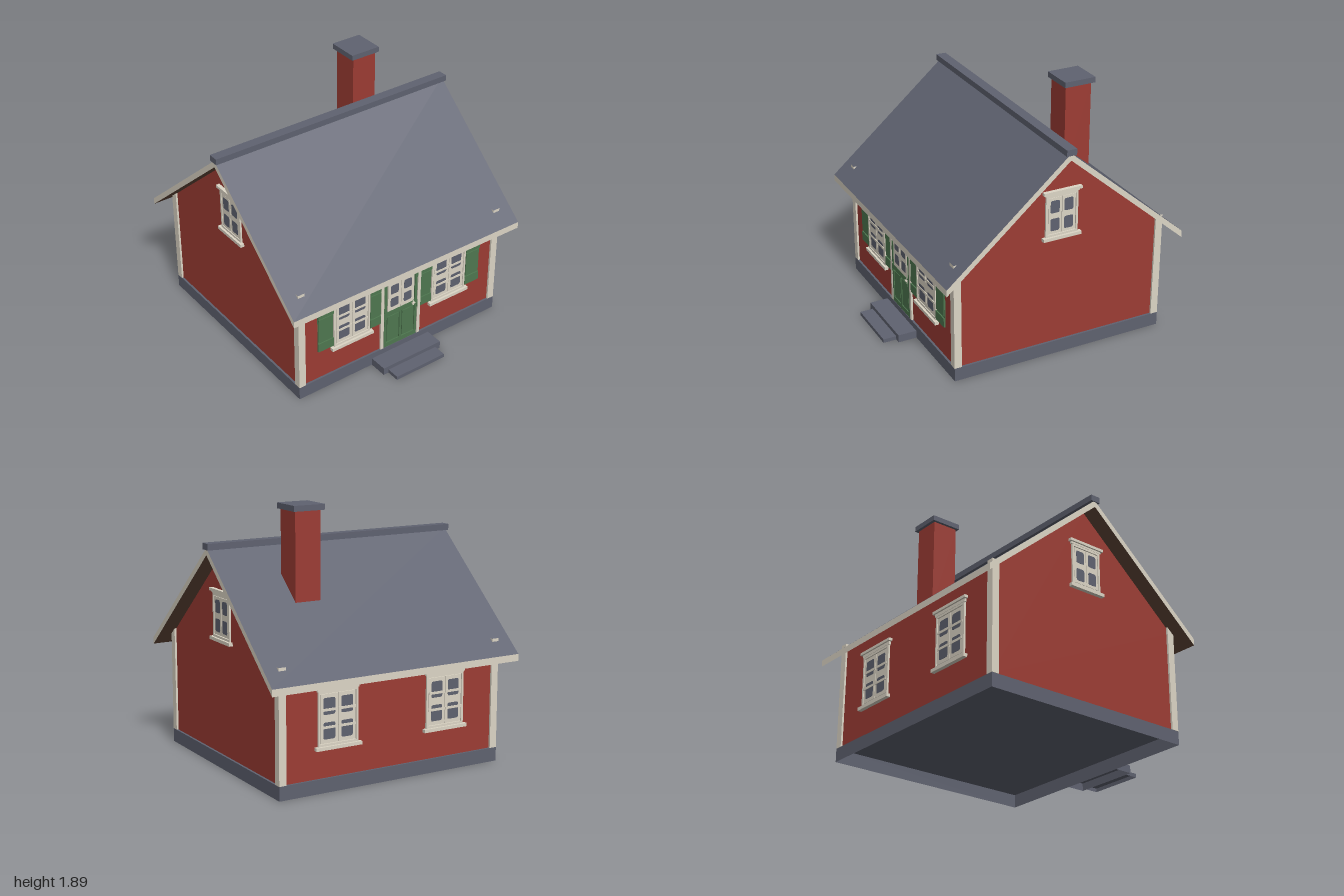
import * as THREE from 'three';

const mat = (name, color) => Object.assign(new THREE.MeshStandardMaterial({ color }), { name });

// Box with one face left out (2 = top, 3 = bottom)
const openBox = (w, h, d, face) => {
  const geo = new THREE.BoxGeometry(w, h, d);
  geo.setIndex([...geo.index.array].filter((_, i) => Math.floor(i / 6) !== face));
  geo.clearGroups();
  return geo;
};

export function createModel() {
  const red = mat('red timber', 0x9d3c34);
  const slate = mat('slate grey', 0x5f6270);
  slate.side = THREE.DoubleSide; // the foundation and steps are open below
  const cream = mat('cream trim', 0xddd6c6);
  const green = mat('green paint', 0x4f7850);
  const brown = mat('brown soffit', 0x64493a);

  const model = new THREE.Group();
  model.name = 'cottage';
  // The house is symmetric about its ridge, which lies slightly behind the centre.
  const house = new THREE.Group();
  house.name = 'house';
  house.position.z = -0.07;
  model.add(house);

  const mesh = (parent, name, geometry, material, x = 0, y = 0, z = 0) => {
    const m = new THREE.Mesh(geometry, material);
    m.name = name;
    m.position.set(x, y, z);
    parent.add(m);
    return m;
  };
  // Box given by its minimum and maximum corners.
  const block = (parent, name, material, [x0, y0, z0], [x1, y1, z1]) =>
    mesh(parent, name, new THREE.BoxGeometry(x1 - x0, y1 - y0, z1 - z0), material,
      (x0 + x1) / 2, (y0 + y1) / 2, (z0 + z1) / 2);
  const group = (parent, name, x, y, z, turn = 0) => {
    const g = new THREE.Group();
    g.name = name;
    g.position.set(x, y, z);
    g.rotation.y = turn;
    parent.add(g);
    return g;
  };

  const WX = 0.875, WZ = 0.805, BASE = 0.101; // wall half sizes and foot
  const SLOPE = 0.86, RIDGE = 1.586, EAVE = 0.92, THICK = 0.05;

  // Foundation and steps: shells without a bottom
  mesh(house, 'foundation', openBox(1.78, 0.1, 1.64, 3), slate, 0, 0.05, 0);
  mesh(house, 'upperStep', openBox(0.516, 0.058, 0.14, 3), slate, 0, 0.029, 0.891);
  mesh(house, 'lowerStep', openBox(0.43, 0.028, 0.099, 3), slate, 0, 0.014, 1.0105);

  // Walls with gables, as one extruded pentagon
  const apex = RIDGE - THICK;
  const gable = new THREE.Shape([[-WZ, BASE], [WZ, BASE], [WZ, apex - SLOPE * WZ], [0, apex], [-WZ, apex - SLOPE * WZ]]
    .map(([a, b]) => new THREE.Vector2(a, b)));
  const walls = new THREE.ExtrudeGeometry(gable, { depth: 2 * WX, bevelEnabled: false });
  walls.rotateY(-Math.PI / 2).translate(WX, 0, 0);
  mesh(house, 'walls', walls, red);

  // Corner boards, whose open tops just break through the roof
  for (const sx of [-1, 1]) for (const sz of [-1, 1]) {
    mesh(house, 'cornerBoard', openBox(0.055, 0.802, 0.055, 2), cream, sx * 0.8625, 0.502, sz * 0.7925);
  }

  // Roof slopes: boxes sheared downwards away from the ridge
  for (const turn of [0, Math.PI]) {
    const geo = new THREE.BoxGeometry(1.984, THICK, EAVE).translate(0, RIDGE - THICK / 2, EAVE / 2);
    const p = geo.attributes.position;
    for (let i = 0; i < p.count; i++) p.setY(i, p.getY(i) - SLOPE * p.getZ(i));
    geo.computeVertexNormals();
    mesh(house, 'roofSlope', geo, [cream, cream, slate, brown, cream, cream]).rotation.y = turn;
  }
  block(house, 'ridgeCap', slate, [-1, 1.573, -0.038], [1, 1.618, 0.038]);

  // Chimney
  block(house, 'chimney', red, [0.333, 1.15, -0.415], [0.531, 1.852, -0.215]);
  block(house, 'chimneyCap', slate, [0.312, 1.851, -0.437], [0.551, 1.891, -0.199]);

  // Thin glass pane with rounded corners
  const pane = (parent, x, y, z, w, h) => {
    const r = 0.014, a = w / 2, b = h / 2, s = new THREE.Shape();
    s.moveTo(-a + r, -b);
    s.lineTo(a - r, -b).quadraticCurveTo(a, -b, a, -b + r);
    s.lineTo(a, b - r).quadraticCurveTo(a, b, a - r, b);
    s.lineTo(-a + r, b).quadraticCurveTo(-a, b, -a, b - r);
    s.lineTo(-a, -b + r).quadraticCurveTo(-a, -b, -a + r, -b);
    const geo = new THREE.ExtrudeGeometry(s, { depth: 0.001, bevelEnabled: false, curveSegments: 3 });
    mesh(parent, 'glassPane', geo, slate, x, y, z);
  };

  // Cased window, centred on its frame and facing +z
  const addWindow = (x, y, z, turn, w, h, bars, head) => {
    const g = group(house, 'window', x, y, z, turn);
    const a = w / 2, b = h / 2, f = 0.016;
    mesh(g, 'windowBack', new THREE.BoxGeometry(w, h, 0.004), cream);
    for (const s of [-1, 1]) {
      mesh(g, 'frameSide', new THREE.BoxGeometry(f, h, 0.014), cream, s * (a - f / 2), 0, 0.007);
      mesh(g, 'frameRail', new THREE.BoxGeometry(w - 2 * f, f, 0.014), cream, 0, s * (b - f / 2), 0.007);
      // Casement leaf with two panes
      const lw = a - f - 0.006, cx = s * (lw / 2 + 0.002), lh = h - 2 * f - 0.008;
      mesh(g, 'casement', new THREE.BoxGeometry(lw, lh, 0.01), cream, cx, 0, 0.006);
      for (const t of [-1, 1]) pane(g, cx, t * lh * 0.25, 0.0105, lw * 0.68, lh * 0.345);
      if (bars) for (const t of [-1, 1]) {
        mesh(g, 'glazingBar', new THREE.BoxGeometry(lw, 0.018, 0.004), cream, cx, t * lh * 0.178, 0.013);
      }
    }
    mesh(g, 'header', new THREE.BoxGeometry(w + 0.015, head, 0.016), cream, 0, b + head / 2, 0.008);
    mesh(g, 'headerCap', new THREE.BoxGeometry(w + 0.045, 0.02, 0.028), cream, 0, b + head + 0.01, 0.014);
    mesh(g, 'sill', new THREE.BoxGeometry(w + 0.045, 0.024, 0.032), cream, 0, -b - 0.012, 0.014);
  };
  for (const x of [-0.435, 0.435]) {
    addWindow(x, 0.513, WZ, 0, 0.312, 0.378, true, 0.022);
    addWindow(x, 0.513, -WZ, Math.PI, 0.312, 0.378, true, 0.022);
    // Shutters: a thin back with three raised boards
    for (const s of [-1, 1]) {
      const g = group(house, 'shutter', x + s * 0.224, 0.515, WZ);
      mesh(g, 'shutterBack', new THREE.BoxGeometry(0.13, 0.352, 0.006), green, 0, 0, 0.002);
      mesh(g, 'shutterPanel', new THREE.BoxGeometry(0.12, 0.19, 0.01), green, 0, 0.003, 0.007);
      for (const t of [-1, 1]) {
        mesh(g, 'shutterBatten', new THREE.BoxGeometry(0.13, 0.07, 0.013), green, 0, t * 0.141, 0.0075);
      }
    }
  }
  for (const s of [-1, 1]) addWindow(s * WX, 1.095, 0, s * Math.PI / 2, 0.25, 0.31, false, 0.014);

  // Door with casing, glazed upper half and two lower panels
  const door = group(house, 'door', -0.003, 0, WZ);
  block(door, 'doorLeaf', green, [-0.156, BASE, -0.005], [0.156, 0.697, 0.004]);
  block(door, 'topRail', green, [-0.147, 0.672, 0], [0.147, 0.69, 0.013]);
  block(door, 'lockRail', green, [-0.147, 0.372, 0], [0.147, 0.412, 0.013]);
  block(door, 'bottomRail', green, [-0.147, BASE, 0], [0.147, 0.138, 0.013]);
  block(door, 'middleStile', green, [-0.009, 0.13, 0], [0.009, 0.38, 0.013]);
  for (const s of [-1, 1]) {
    block(door, 'doorCasing', cream, [s * 0.165 - 0.013, BASE, 0], [s * 0.165 + 0.013, 0.71, 0.0148]);
    block(door, 'doorStile', green, [s * 0.1365 - 0.0105, BASE, 0], [s * 0.1365 + 0.0105, 0.685, 0.013]);
    block(door, 'doorPanel', green, [s * 0.0675 - 0.051, 0.145, 0], [s * 0.0675 + 0.051, 0.364, 0.011]);
    block(door, 'doorSash', cream, [s * 0.0595 - 0.0575, 0.415, 0], [s * 0.0595 + 0.0575, 0.662, 0.0135]);
    for (const y of [0.483, 0.595]) pane(door, s * 0.059, y, 0.013, 0.07, 0.077);
  }
  block(door, 'doorHeader', cream, [-0.182, 0.695, 0], [0.182, 0.722, 0.018]);
  block(door, 'doorHeaderCap', cream, [-0.196, 0.718, 0], [0.196, 0.736, 0.028]);
  block(door, 'handlePlate', cream, [0.107, 0.374, 0.012], [0.118, 0.412, 0.016]);
  block(door, 'handle', cream, [0.098, 0.392, 0.014], [0.124, 0.4, 0.025]);

  return model;
}
